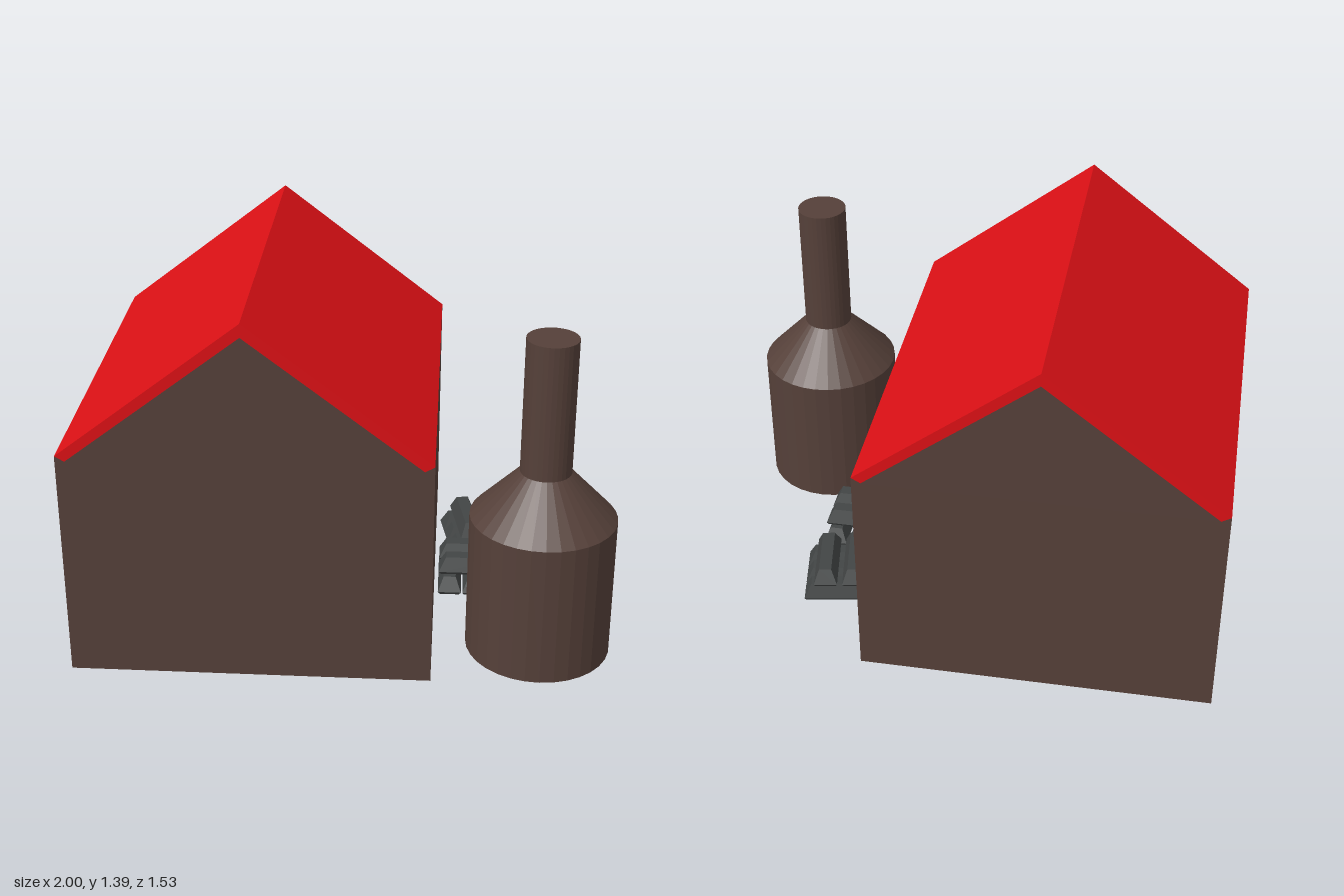
import * as THREE from 'three';
import { ConvexGeometry } from 'three/addons/geometries/ConvexGeometry.js';

const material = (color) => new THREE.MeshStandardMaterial({ color, flatShading: true });

function addMesh(parent, name, geometry, mat) {
  const mesh = new THREE.Mesh(geometry, mat);
  mesh.name = name;
  parent.add(mesh);
  return mesh;
}

// Outline in the front plane, extruded along the length of the house
function extrudeAlongZ(points, depth) {
  const shape = new THREE.Shape(points.map(([x, y]) => new THREE.Vector2(x, y)));
  return new THREE.ExtrudeGeometry(shape, { depth, bevelEnabled: false }).translate(0, 0, -depth / 2);
}

// Bar with a tapered top and a small chamfer at the foot, lying along x
function ingotGeometry() {
  const levels = [[0.27, 0.078, 0], [0.284, 0.092, 0.012], [0.228, 0.048, 0.068]];
  const points = [];
  for (const [length, width, y] of levels)
    for (const sx of [-0.5, 0.5])
      for (const sz of [-0.5, 0.5]) points.push(new THREE.Vector3(sx * length, y, sz * width));
  return new ConvexGeometry(points);
}

export function createModel() {
  const model = new THREE.Group();
  model.name = 'foundry';
  const brown = material(0x554039);
  const red = material(0xdb1015);
  const grey = material(0x424545);

  // House: walls with gables, and a thin roof flush with them
  const house = new THREE.Group();
  house.name = 'house';
  house.position.x = -0.335;
  model.add(house);
  const half = 0.665, eave = 0.88, ridge = 1.395;
  const underside = [[half, eave], [half - 0.035, 0.86], [0, 1.345], [-half + 0.035, 0.86], [-half, eave]];
  addMesh(house, 'walls', extrudeAlongZ([[-half, 0], [half, 0], ...underside], 1.53), brown);
  addMesh(house, 'roof', extrudeAlongZ([...underside].reverse().concat([[0, ridge]]), 1.53), red);

  // Furnace: drum, shoulder and chimney in one turned profile
  const profile = [[0, 0], [0.272, 0], [0.272, 0.55], [0.095, 0.735], [0.095, 1.255], [0, 1.255]]
    .map(([r, y]) => new THREE.Vector2(r, y));
  const furnace = addMesh(model, 'furnace', new THREE.LatheGeometry(profile, 32), brown);
  furnace.position.set(0.728, 0, 0.48);

  // Ingot piles: three bars below, two laid across them
  const ingot = ingotGeometry();
  function addPile(name, x, z, angle) {
    const pile = new THREE.Group();
    pile.name = name;
    pile.position.set(x, 0.003, z);
    pile.rotation.y = angle;
    for (const i of [-1, 0, 1]) {
      const bar = addMesh(pile, 'lowerIngot', ingot, grey);
      bar.position.x = i * 0.098;
      bar.rotation.y = Math.PI / 2;
    }
    for (const side of [-1, 1])
      addMesh(pile, 'upperIngot', ingot, grey).position.set(0, 0.069, side * 0.056);
    model.add(pile);
  }
  addPile('frontIngotPile', 0.49, 0.026, 0);
  addPile('backIngotPile', 0.512, -0.307, -THREE.MathUtils.degToRad(80));

  return model;
}
